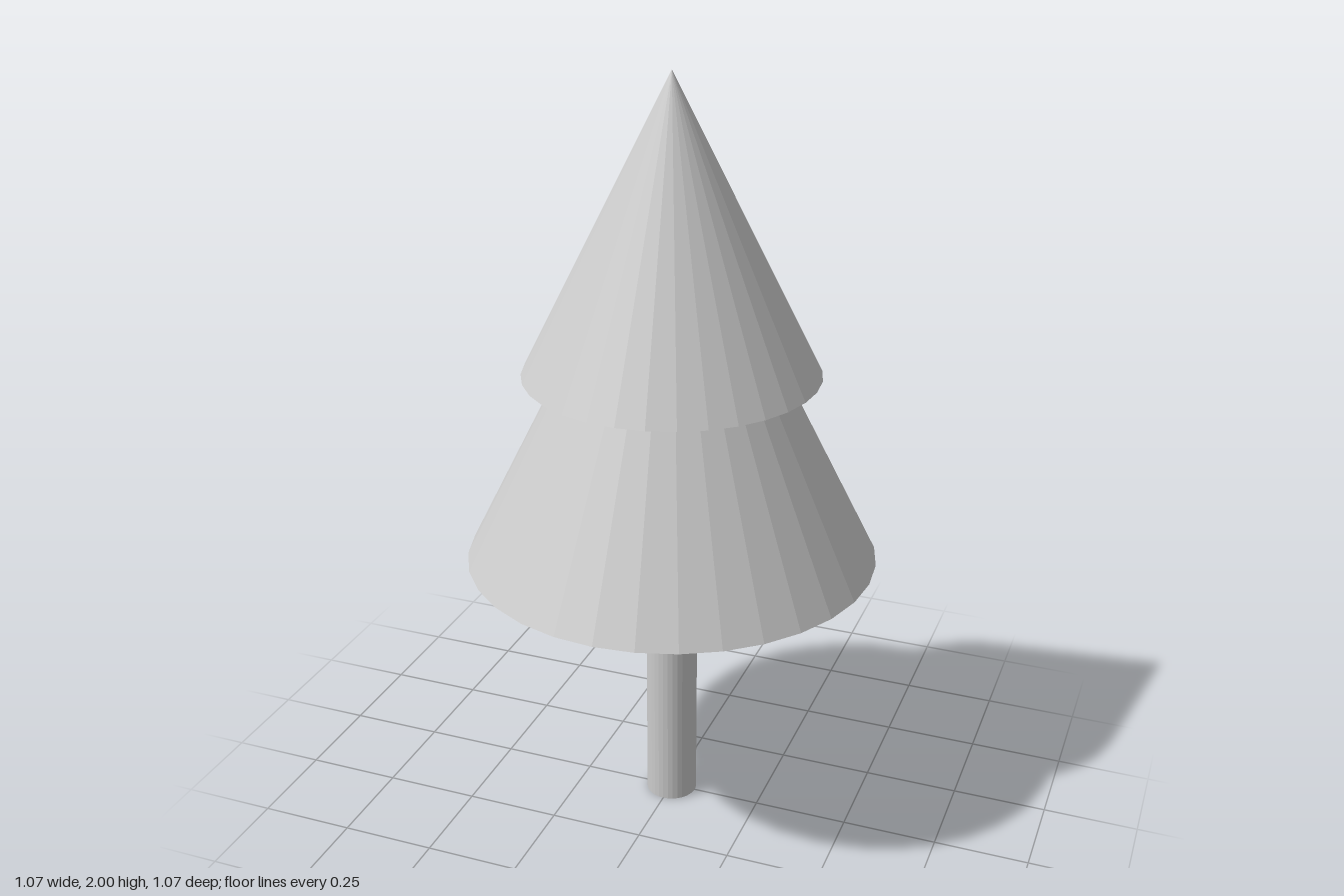
import * as THREE from 'three';

const SIDES = 32;

export function createModel() {
  const tree = new THREE.Group();
  tree.name = 'tree';
  const material = new THREE.MeshStandardMaterial({ color: 0xcccccc, flatShading: true });

  // Adds a part standing on the given height
  function addPart(name, geometry, base) {
    const mesh = new THREE.Mesh(geometry, material);
    mesh.name = name;
    mesh.position.y = base + geometry.parameters.height / 2;
    tree.add(mesh);
  }

  // Trunk
  addPart('trunk', new THREE.CylinderGeometry(0.068, 0.068, 0.74, SIDES), 0);

  // Two overlapping tiers of foliage
  addPart('lowerFoliage', new THREE.ConeGeometry(0.535, 1.07, SIDES), 0.74);
  addPart('upperFoliage', new THREE.ConeGeometry(0.38, 0.758, SIDES), 1.242);

  return tree;
}
